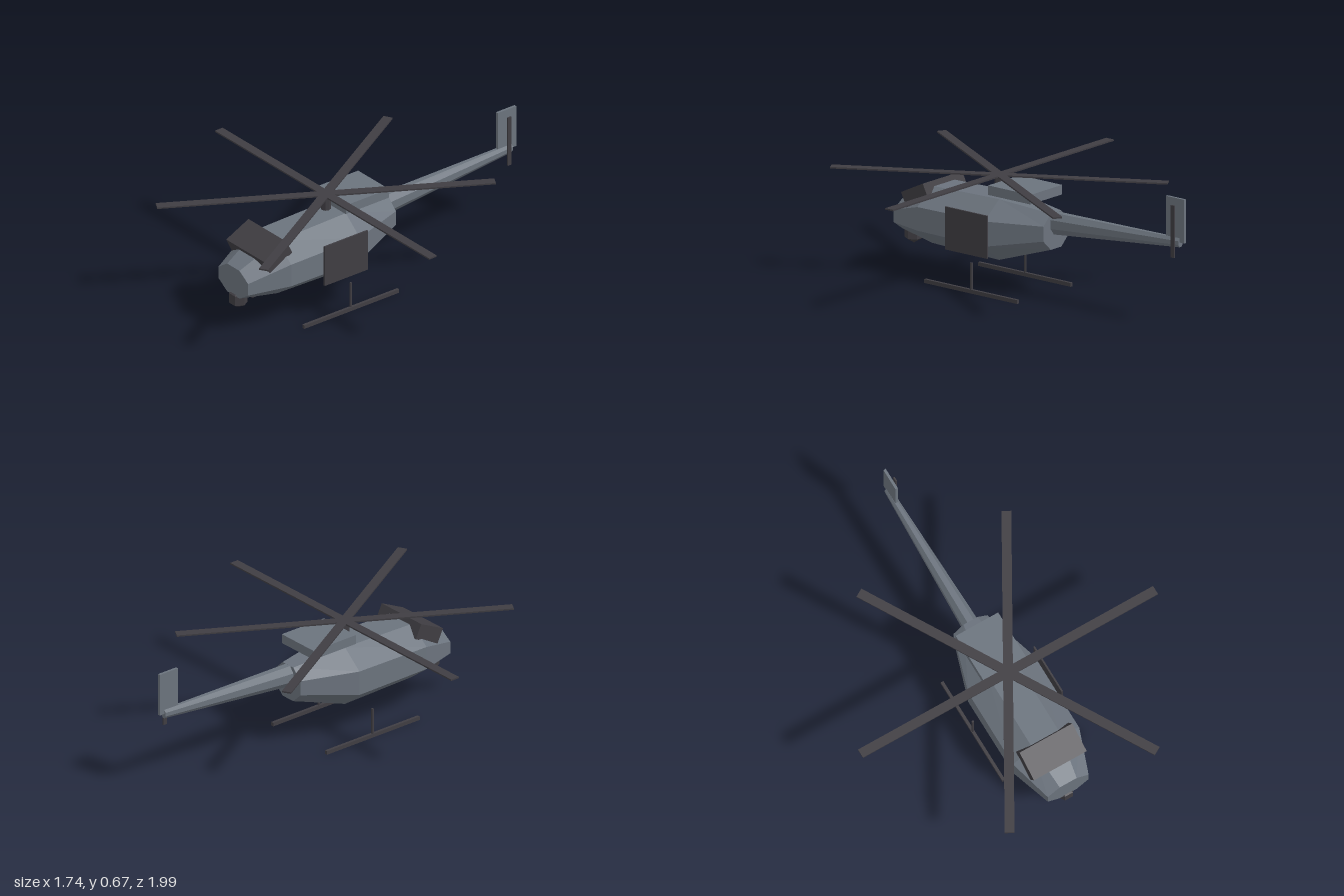
import * as THREE from 'three';

const paint = new THREE.MeshStandardMaterial({ name: 'grey paint', color: 0x6b737d, flatShading: true });
const dark = new THREE.MeshStandardMaterial({ name: 'dark metal', color: 0x3f3d42, flatShading: true });

// Closed octagonal loft; sections run front to back: [z, bottom, top, halfWidth]
function loft(sections) {
  const n = 8, k = 1 / Math.cos(Math.PI / n), pos = [], index = [];
  for (const [z, bottom, top, half] of sections) {
    for (let j = 0; j < n; j++) {
      const a = (j + 0.5) * 2 * Math.PI / n;
      pos.push(Math.cos(a) * half * k, (bottom + top) / 2 + Math.sin(a) * k * (top - bottom) / 2, z);
    }
  }
  const last = (sections.length - 1) * n;
  for (let i = 0; i < last; i += n) {
    for (let j = 0; j < n; j++) {
      const a = i + j, b = i + (j + 1) % n;
      index.push(a, a + n, b, b, a + n, b + n);
    }
  }
  for (let j = 1; j < n - 1; j++) {
    index.push(0, j, j + 1, last, last + j + 1, last + j);
  }
  const g = new THREE.BufferGeometry();
  g.setAttribute('position', new THREE.Float32BufferAttribute(pos, 3));
  g.setIndex(index);
  const flat = g.toNonIndexed();
  flat.computeVertexNormals();
  return flat;
}

export function createModel() {
  const model = new THREE.Group();
  model.name = 'helicopter';
  const add = (name, geometry, material, x, y, z, parent = model) => {
    const mesh = new THREE.Mesh(geometry, material);
    mesh.name = name;
    mesh.position.set(x, y, z);
    parent.add(mesh);
    return mesh;
  };
  const box = (name, material, w, h, d, x, y, z, parent) =>
    add(name, new THREE.BoxGeometry(w, h, d), material, x, y, z, parent);

  // Body and tail
  add('fuselage', loft([
    [0.83, 0.2, 0.36, 0.12],
    [0.61, 0.17, 0.47, 0.195],
    [0.165, 0.16, 0.48, 0.195],
    [-0.145, 0.26, 0.45, 0.1],
  ]), paint, 0, 0, 0);
  add('tailBoom', loft([
    [-0.1, 0.332, 0.449, 0.044],
    [-0.97, 0.415, 0.463, 0.017],
  ]), paint, 0, 0, 0);
  box('tailFin', paint, 0.014, 0.23, 0.12, 0, 0.555, -0.94);
  box('tailRotor', dark, 0.008, 0.275, 0.024, 0.026, 0.497, -0.94);
  box('engineDeck', paint, 0.25, 0.05, 0.28, 0, 0.53, 0.06);

  // Cockpit glazing, nose sensor and the door on the left side only
  box('windscreen', dark, 0.31, 0.083, 0.16, 0, 0.425, 0.662).rotation.x = 0.45;
  add('noseSensor', new THREE.SphereGeometry(0.055, 6, 3), dark, 0, 0.176, 0.797);
  box('sideDoor', dark, 0.009, 0.225, 0.28, 0.212, 0.313, 0.27);

  // Main rotor: three full-span bars make six blades
  const rotor = new THREE.Group();
  rotor.name = 'mainRotor';
  rotor.position.set(0, 0.58, 0.23);
  model.add(rotor);
  add('hub', new THREE.CylinderGeometry(0.026, 0.026, 0.085, 8), dark, 0, -0.042, 0, rotor);
  for (let i = 0; i < 3; i++) {
    box('bladePair', dark, 1.735, 0.008, 0.05, 0, 0, 0, rotor).rotation.y = i * Math.PI / 3;
  }

  // Landing skids
  for (const side of [1, -1]) {
    const skid = new THREE.Group();
    skid.name = side > 0 ? 'leftSkid' : 'rightSkid';
    skid.position.x = side * 0.211;
    model.add(skid);
    box('runner', dark, 0.016, 0.02, 0.615, 0, 0.01, 0.237, skid);
    box('strut', dark, 0.01, 0.145, 0.01, 0, 0.0875, 0.237, skid);
  }
  return model;
}
